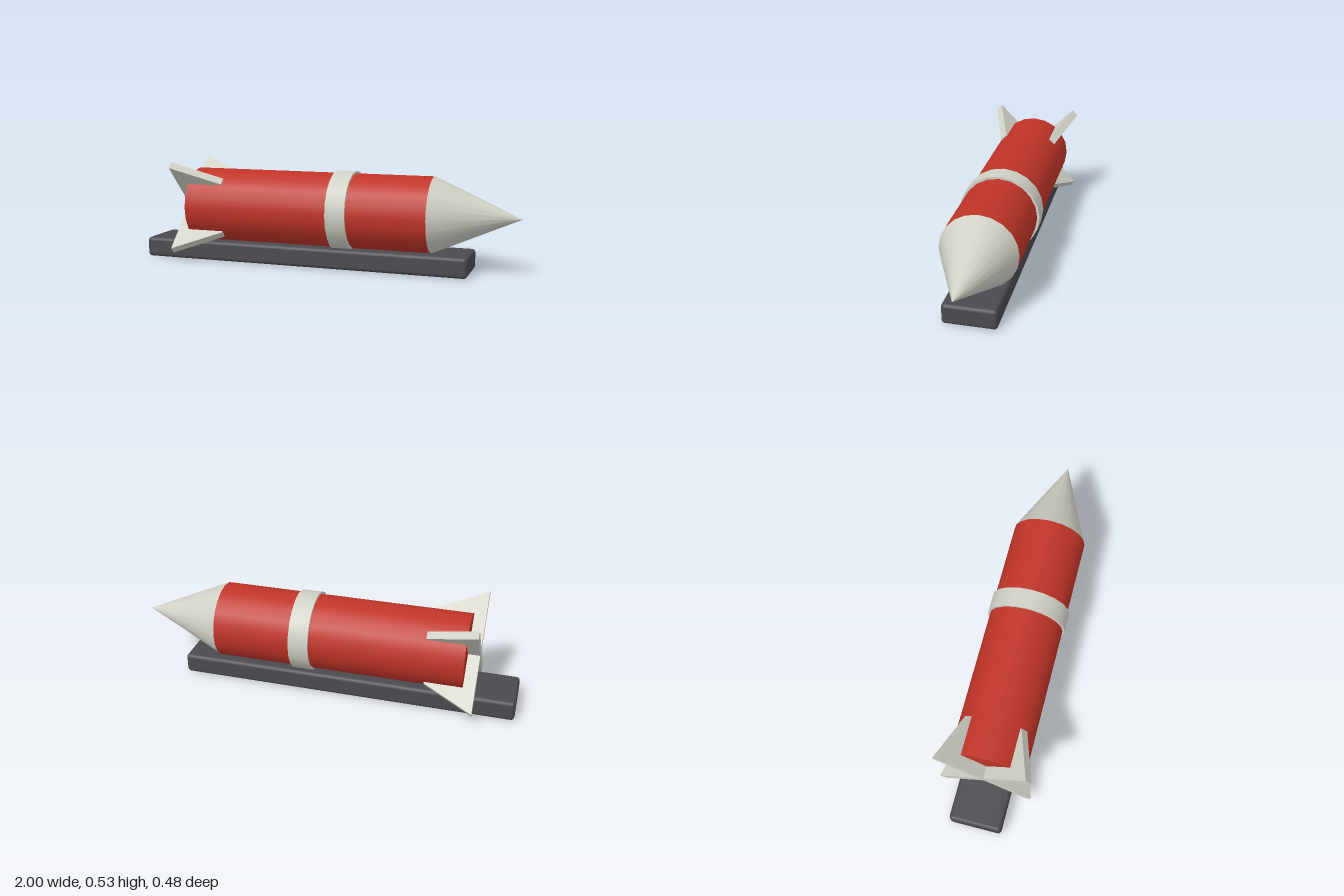
import * as THREE from 'three';
import { RoundedBoxGeometry } from 'three/addons/geometries/RoundedBoxGeometry.js';

const AXIS_Y = 0.289;
const SIDES = 20;

export function createModel() {
  const model = new THREE.Group();
  model.name = 'rocketOnStand';

  const material = (name, color) => {
    const m = new THREE.MeshStandardMaterial({ color });
    m.name = name;
    return m;
  };
  const red = material('red', 0xc03428);
  const offWhite = material('offWhite', 0xd0d0c6);
  const charcoal = material('charcoal', 0x4a4a50);

  const add = (name, geometry, mat, parent = model) => {
    const mesh = new THREE.Mesh(geometry, mat);
    mesh.name = name;
    parent.add(mesh);
    return mesh;
  };

  // Round part lying along x, from x0 to x1
  const round = (x0, x1, r0, r1) =>
    new THREE.CylinderGeometry(r1, r0, x1 - x0, SIDES)
      .rotateZ(-Math.PI / 2)
      .translate((x0 + x1) / 2, 0, 0);

  // Stand
  add('stand', new RoundedBoxGeometry(1.756, 0.105, 0.27, 2, 0.019), charcoal)
    .position.set(-0.122, 0.0525, 0);

  // Rocket
  const rocket = new THREE.Group();
  rocket.name = 'rocket';
  rocket.position.y = AXIS_Y;
  model.add(rocket);
  add('body', round(-0.735, 0.56, 0.195, 0.195), red, rocket);
  add('band', round(0.05, 0.153, 0.207, 0.207), offWhite, rocket);
  add('noseCone', round(0.56, 1, 0.195, 0), offWhite, rocket);

  // Four swept fins that meet on the axis behind the body
  const outline = new THREE.Shape([
    new THREE.Vector2(-0.796, 0),
    new THREE.Vector2(-0.54, 0),
    new THREE.Vector2(-0.54, 0.2),
    new THREE.Vector2(-0.796, 0.322),
  ]);
  const finGeometry = new THREE.ExtrudeGeometry(outline, { depth: 0.04, bevelEnabled: false })
    .translate(0, 0, -0.02);
  for (let i = 0; i < 4; i++) {
    add('fin' + (i + 1), finGeometry, offWhite, rocket).rotation.x = Math.PI / 4 + i * Math.PI / 2;
  }

  return model;
}
